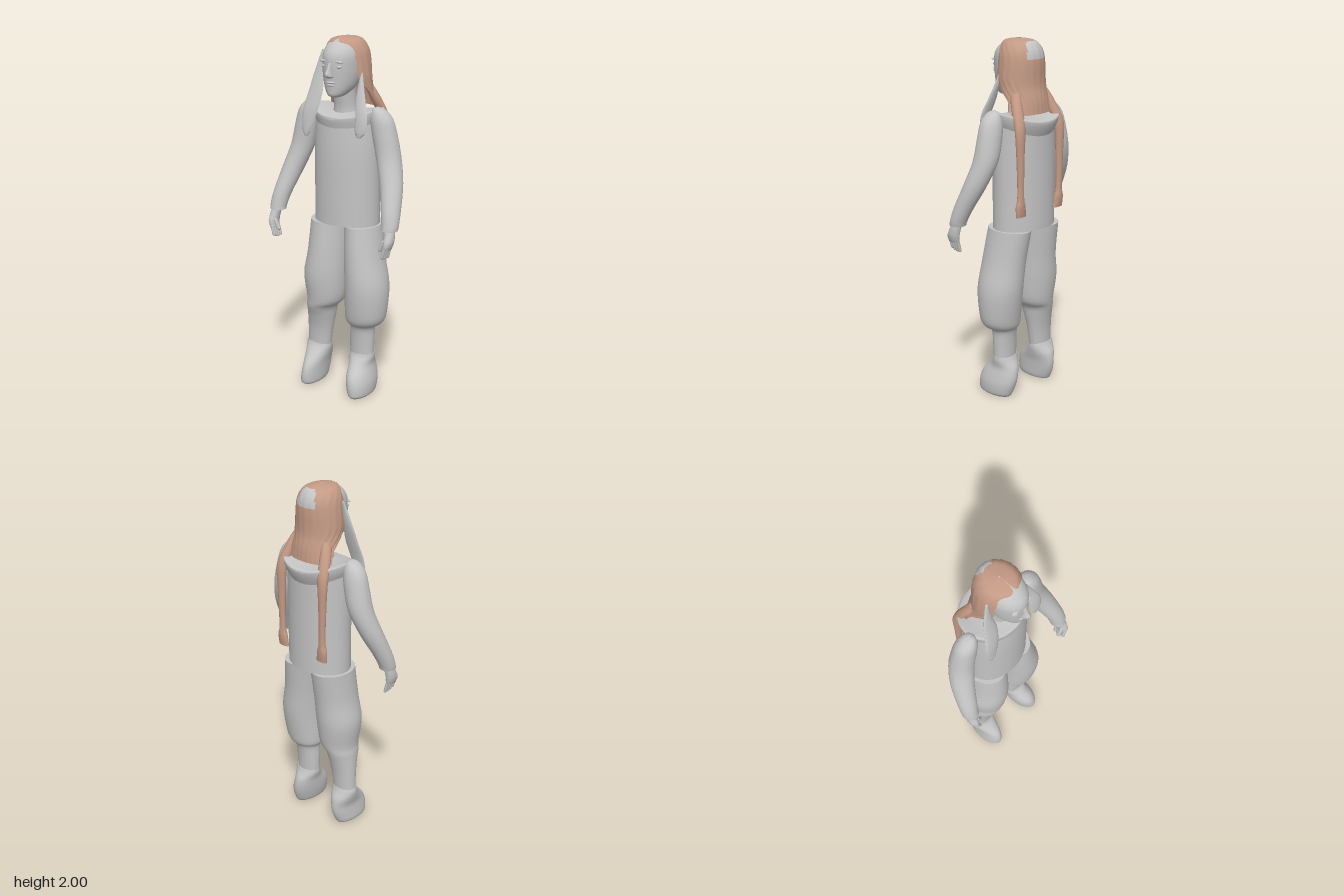
import * as THREE from 'three';
import { toCreasedNormals } from 'three/addons/utils/BufferGeometryUtils.js';

const plain = new THREE.MeshStandardMaterial({ color: 0xc4c4c4 });
plain.name = 'paleGrey';
const hair = new THREE.MeshStandardMaterial({ color: 0xc49a85, side: THREE.DoubleSide });
hair.name = 'hairBrown';
const plainThin = plain.clone();
plainThin.side = THREE.DoubleSide;

// Catmull-Rom smoothing of rows of numbers
function refine(rows, steps) {
  const out = [];
  const at = (i) => rows[Math.max(0, Math.min(rows.length - 1, i))];
  for (let i = 0; i < rows.length - 1; i++) {
    for (let k = 0; k < steps; k++) {
      const t = k / steps;
      out.push(rows[i].map((b, c) => {
        const a = at(i - 1)[c], d = at(i + 1)[c], e = at(i + 2)[c];
        return b + 0.5 * t * (d - a + t * (2 * a - 5 * b + 4 * d - e + t * (3 * (b - d) + e - a)));
      }));
    }
  }
  out.push(rows[rows.length - 1]);
  return out;
}

// Closed body through horizontal ellipses [y, cx, cz, rx, rz], lowest first
function loft(rows, { seg = 32, steps = 4, warp = null } = {}) {
  const rings = refine(rows, steps), pos = [], idx = [];
  for (const [y, cx, cz, rx, rz] of rings) {
    for (let j = 0; j < seg; j++) {
      const a = (j / seg) * Math.PI * 2;
      const x = cx + rx * Math.cos(a), z = cz + rz * Math.sin(a);
      pos.push(x, y + (warp ? warp(x, z) : 0), z);
    }
  }
  const n = rings.length;
  for (let i = 0; i < n - 1; i++) {
    for (let j = 0; j < seg; j++) {
      const k = (j + 1) % seg, a = i * seg + j, b = a + seg, c = i * seg + k, d = c + seg;
      idx.push(a, b, c, b, d, c);
    }
  }
  const lo = rings[0], hi = rings[n - 1], base = pos.length / 3;
  pos.push(lo[1], lo[0], lo[2], hi[1], hi[0], hi[2]);
  for (let j = 0; j < seg; j++) {
    const k = (j + 1) % seg, top = (n - 1) * seg;
    idx.push(base, j, k, base + 1, top + k, top + j);
  }
  const g = new THREE.BufferGeometry();
  g.setAttribute('position', new THREE.Float32BufferAttribute(pos, 3));
  g.setIndex(idx);
  return toCreasedNormals(g, 0.9);
}

// Open hair cap: rows [y, cz, rx, rz, half angle from the back], top first
function hairCap(rows, cx) {
  const seg = 48, rings = refine(rows, 4), pos = [], brown = [], bare = [];
  for (const [y, cz, rx, rz, half] of rings) {
    for (let j = 0; j <= seg; j++) {
      const a = THREE.MathUtils.degToRad(half) * (2 * j / seg - 1);
      const lock = 1 + 0.012 * Math.sin(j * 1.7);
      pos.push(cx + rx * lock * Math.sin(a), y, cz - rz * lock * Math.cos(a));
    }
  }
  for (let i = 0; i < rings.length - 1; i++) {
    for (let j = 0; j < seg; j++) {
      const a = i * (seg + 1) + j, b = a + 1, c = a + seg + 1, d = c + 1;
      const angle = rings[i][4] * (2 * (j + 0.5) / seg - 1);
      const patch = Math.abs(angle) < 32 && rings[i][0] < 1.992 && rings[i][0] > 1.9;
      (patch ? bare : brown).push(a, b, c, b, d, c);
    }
  }
  const g = new THREE.BufferGeometry();
  g.setAttribute('position', new THREE.Float32BufferAttribute(pos, 3));
  g.setIndex([...brown, ...bare]);
  g.addGroup(0, brown.length, 0);
  g.addGroup(brown.length, bare.length, 1);
  g.computeVertexNormals();
  return g;
}

export function createModel() {
  const model = new THREE.Group();
  const add = (name, geo, mat = plain) => {
    const m = new THREE.Mesh(geo, mat);
    m.name = name;
    model.add(m);
    return m;
  };
  const blob = (name, x, y, z, sx, sy, sz) => {
    const m = add(name, new THREE.SphereGeometry(1, 16, 12));
    m.position.set(x, y, z);
    m.scale.set(sx, sy, sz);
    return m;
  };

  // Tunic and its rolled collar
  add('torso', loft([
    [0.985, 0.005, -0.02, 0.192, 0.142], [1.2, 0.005, -0.02, 0.19, 0.143],
    [1.4, 0.005, -0.022, 0.19, 0.143], [1.57, 0.005, -0.03, 0.186, 0.14]]));
  add('collar', loft([
    [1.5, 0.005, -0.03, 0.18, 0.138], [1.535, 0.005, -0.034, 0.196, 0.15], [1.565, 0.005, -0.036, 0.202, 0.158],
    [1.582, 0.005, -0.036, 0.197, 0.155], [1.59, 0.005, -0.03, 0.15, 0.12], [1.6, 0.01, -0.01, 0.075, 0.07]],
  { warp: (x) => 1.1 * x * x }));
  add('neck', loft([[1.56, 0.01, -0.005, 0.078, 0.072], [1.62, 0.01, 0, 0.066, 0.064],
    [1.68, 0.01, 0.01, 0.06, 0.062], [1.76, 0.01, 0.02, 0.06, 0.065]]));

  // Sleeves and hands
  for (const s of [1, -1]) {
    const side = s > 0 ? 'left' : 'right';
    const mir = (rows) => rows.map(([y, cx, ...r]) => [y, cx * s, ...r]);
    add(side + 'Arm', loft(mir([
      [1.025, 0.36, 0.125, 0.045, 0.045], [1.05, 0.36, 0.118, 0.047, 0.047], [1.12, 0.349, 0.092, 0.052, 0.055],
      [1.25, 0.316, 0.035, 0.062, 0.065], [1.38, 0.275, -0.003, 0.068, 0.067], [1.5, 0.247, -0.007, 0.069, 0.063],
      [1.58, 0.229, -0.004, 0.062, 0.055], [1.625, 0.215, -0.002, 0.036, 0.036], [1.64, 0.205, 0, 0.008, 0.01]])));
    add(side + 'Hand', loft(mir([
      [0.925, 0.365, 0.152, 0.018, 0.036], [0.96, 0.372, 0.15, 0.024, 0.04],
      [1.0, 0.37, 0.138, 0.027, 0.034], [1.04, 0.362, 0.128, 0.028, 0.028]]), { seg: 20 }));
    for (let f = 0; f < 4; f++) {
      const finger = add(side + 'Finger', new THREE.CapsuleGeometry(0.0095, 0.06 - 0.008 * Math.abs(f - 1.3), 4, 10));
      finger.position.set(s * 0.357, 0.902 + 0.003 * f, 0.124 + f * 0.019);
      finger.rotation.z = -s * 0.25;
    }
    const thumb = add(side + 'Thumb', new THREE.CapsuleGeometry(0.011, 0.05, 4, 10));
    thumb.position.set(s * 0.34, 0.945, 0.165);
    thumb.rotation.z = -s * 0.45;
  }

  // Baggy trousers, the two legs bunched at different heights
  add('leftLeg', loft([
    [0.22, 0.125, 0.01, 0.072, 0.052], [0.32, 0.126, 0.01, 0.073, 0.058], [0.395, 0.13, 0.01, 0.074, 0.07],
    [0.425, 0.142, 0.015, 0.104, 0.095], [0.48, 0.152, 0.017, 0.119, 0.11], [0.64, 0.156, 0.012, 0.122, 0.13],
    [0.8, 0.135, 0.003, 0.108, 0.131], [0.985, 0.113, -0.02, 0.096, 0.135]]));
  add('rightLeg', loft([
    [0.22, -0.163, 0.01, 0.072, 0.052], [0.32, -0.155, 0.01, 0.077, 0.06], [0.41, -0.145, 0.012, 0.083, 0.08],
    [0.47, -0.137, 0.015, 0.088, 0.1], [0.52, -0.114, 0.014, 0.108, 0.112], [0.66, -0.114, 0.012, 0.124, 0.13],
    [0.8, -0.101, 0.003, 0.114, 0.131], [0.985, -0.094, -0.02, 0.109, 0.135]]));

  // Soft boots
  add('leftBoot', loft([
    [0, 0.155, 0.055, 0.05, 0.105], [0.015, 0.153, 0.055, 0.063, 0.115], [0.07, 0.147, 0.045, 0.071, 0.125],
    [0.12, 0.138, 0.033, 0.069, 0.12], [0.17, 0.129, 0.014, 0.065, 0.094], [0.21, 0.126, 0.008, 0.074, 0.065],
    [0.235, 0.126, 0.008, 0.073, 0.054]]));
  add('rightBoot', loft([
    [0.005, -0.17, 0.055, 0.05, 0.105], [0.02, -0.17, 0.055, 0.057, 0.115], [0.07, -0.167, 0.045, 0.057, 0.125],
    [0.12, -0.164, 0.033, 0.058, 0.12], [0.17, -0.165, 0.014, 0.07, 0.094], [0.21, -0.166, 0.008, 0.077, 0.065],
    [0.235, -0.166, 0.008, 0.072, 0.054]]));

  // Head and facial features
  const cx = 0.012;
  add('head', loft([
    [1.692, cx, 0.095, 0.025, 0.04], [1.705, cx, 0.085, 0.048, 0.066], [1.74, cx, 0.055, 0.075, 0.1],
    [1.79, cx, 0.035, 0.092, 0.123], [1.85, cx, 0.025, 0.1, 0.136], [1.91, cx, 0.018, 0.101, 0.139],
    [1.955, cx, 0.008, 0.088, 0.118], [1.983, cx, 0, 0.06, 0.08], [1.996, cx, 0, 0.015, 0.02]]));
  add('nose', loft([
    [1.796, cx, 0.155, 0.012, 0.014], [1.805, cx, 0.163, 0.022, 0.025], [1.818, cx, 0.168, 0.017, 0.029],
    [1.845, cx, 0.16, 0.012, 0.021], [1.875, cx, 0.152, 0.012, 0.014]], { seg: 16 }));
  blob('upperLip', cx, 1.773, 0.152, 0.03, 0.007, 0.013);
  blob('lowerLip', cx, 1.759, 0.148, 0.025, 0.008, 0.013);
  blob('chin', cx, 1.717, 0.13, 0.028, 0.02, 0.022);
  for (const s of [1, -1]) {
    blob('eye', cx + s * 0.042, 1.855, 0.139, 0.019, 0.009, 0.013);
    blob('brow', cx + s * 0.043, 1.882, 0.141, 0.027, 0.007, 0.013).rotation.z = -s * 0.1;
    blob('ear', cx + s * 0.106, 1.83, 0.02, 0.013, 0.042, 0.024);
  }

  // Long hair with a bare patch behind the crown
  add('hairCap', hairCap([
    [2, 0, 0.004, 0.004, 179], [1.988, 0, 0.064, 0.083, 176], [1.965, -0.004, 0.094, 0.107, 158],
    [1.925, -0.008, 0.115, 0.12, 132], [1.87, -0.01, 0.126, 0.122, 126], [1.8, -0.01, 0.134, 0.12, 125],
    [1.745, -0.018, 0.136, 0.114, 108], [1.68, -0.035, 0.142, 0.11, 82], [1.615, -0.05, 0.165, 0.1, 70]],
  cx), [hair, plainThin]);
  for (const s of [1, -1]) {
    const x = 0.012;
    add('backStrand', loft([
      [1.08, x + s * 0.142, -0.145, 0.036, 0.012], [1.14, x + s * 0.148, -0.147, 0.032, 0.018],
      [1.2, x + s * 0.148, -0.148, 0.02, 0.016], [1.4, x + s * 0.15, -0.148, 0.024, 0.019],
      [1.55, x + s * 0.148, -0.143, 0.032, 0.024], [1.66, x + s * 0.125, -0.098, 0.03, 0.03],
      [1.73, x + s * 0.105, -0.065, 0.02, 0.03]], { seg: 16 }), hair);
  }

  // Pale locks falling in front of the shoulders
  add('leftFrontLock', loft([
    [1.49, 0.163, 0.115, 0.008, 0.005], [1.52, 0.168, 0.112, 0.032, 0.009], [1.6, 0.168, 0.1, 0.036, 0.01],
    [1.68, 0.148, 0.075, 0.03, 0.01], [1.76, 0.135, 0.05, 0.016, 0.01], [1.82, 0.13, 0.035, 0.006, 0.006]],
  { seg: 16 }));
  add('rightFrontLock', loft([
    [1.46, -0.172, 0.115, 0.008, 0.005], [1.5, -0.168, 0.112, 0.028, 0.009], [1.6, -0.154, 0.1, 0.046, 0.01],
    [1.7, -0.134, 0.075, 0.044, 0.01], [1.8, -0.128, 0.05, 0.03, 0.01], [1.92, -0.112, 0.03, 0.008, 0.006]],
  { seg: 16 }));
  return model;
}
